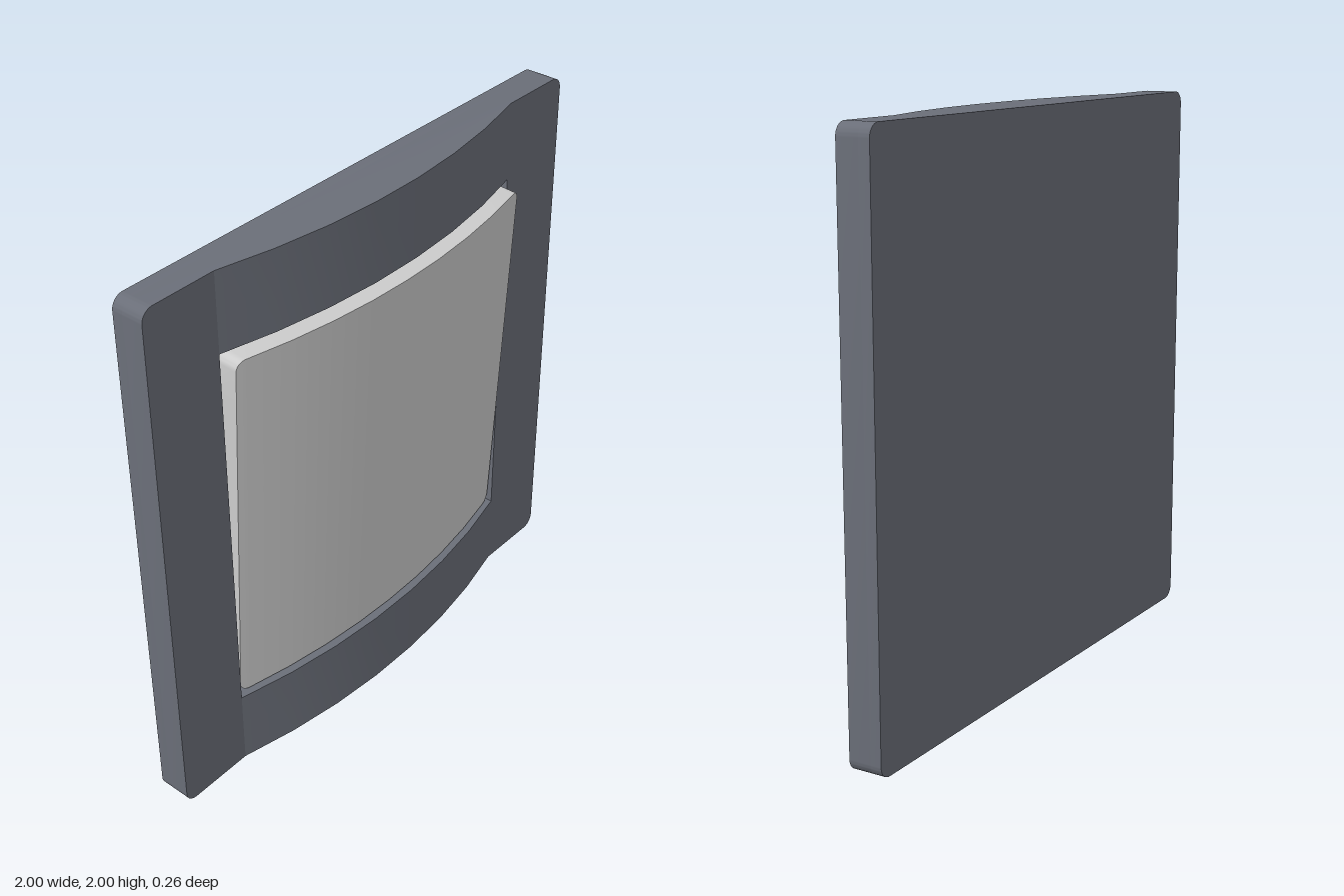
import * as THREE from 'three';
import { toCreasedNormals } from 'three/addons/utils/BufferGeometryUtils.js';

const HOLE = 0.712;    // half size of the opening
const ROCKER = 0.7;    // half size of the rocker
const BACK = -0.13, FLOOR = -0.09, FACE = -0.01;
const BULGE = 0.095;   // height of the curved front

// height of the shallow arc above its ends, at x
function arc(x, half, rise) {
  const r = (half * half + rise * rise) / (2 * rise);
  return Math.sqrt(r * r - x * x) - (r - rise);
}

function roundedSquare(h, r) {
  const s = new THREE.Shape();
  const k = h - r;
  s.absarc(k, k, r, 0, Math.PI / 2);
  s.absarc(-k, k, r, Math.PI / 2, Math.PI);
  s.absarc(-k, -k, r, Math.PI, Math.PI * 1.5);
  s.absarc(k, -k, r, Math.PI * 1.5, Math.PI * 2);
  s.closePath();
  return s;
}

function extrude(shape, depth) {
  return new THREE.ExtrudeGeometry(shape, { depth, bevelEnabled: false, curveSegments: 6 });
}

// square cushion with rounded corners and a front curved across x
function rockerGeometry() {
  const corner = 0.035, n = 4, mid = 8, seg = mid + 2 * n;
  const geo = new THREE.BoxGeometry(2, 2, 1, seg, seg, 1);
  const p = geo.attributes.position;
  const inner = ROCKER - corner;
  // grid index to position, with fine steps inside the corners
  const place = (t) => {
    const i = Math.round((t + 1) / 2 * seg);
    if (i < n) return -ROCKER + corner * i / n;
    if (i > seg - n) return ROCKER - corner * (seg - i) / n;
    return -inner + 2 * inner * (i - n) / mid;
  };
  for (let i = 0; i < p.count; i++) {
    let x = place(p.getX(i)), y = place(p.getY(i));
    const u = Math.abs(x) - inner, v = Math.abs(y) - inner;
    if (u > 1e-6 && v > 1e-6) {
      const k = Math.max(u, v) / Math.hypot(u, v);
      x = Math.sign(x) * (inner + u * k);
      y = Math.sign(y) * (inner + v * k);
    }
    const z = p.getZ(i) > 0 ? 0.01 + arc(x, ROCKER, 0.085) : -0.08;
    p.setXYZ(i, x, y, z);
  }
  return toCreasedNormals(geo, 0.6);
}

export function createModel() {
  const group = new THREE.Group();
  const dark = new THREE.MeshStandardMaterial({ color: 0x6a6e78 });
  const grey = new THREE.MeshStandardMaterial({ color: 0xcccccc });
  const add = (name, geo, mat, y, z) => {
    const mesh = new THREE.Mesh(geo, mat);
    mesh.name = name;
    mesh.position.set(0, y, z);
    group.add(mesh);
    return mesh;
  };

  // closed back and the flat frame around the opening
  const outline = roundedSquare(1, 0.045);
  add('backPlate', toCreasedNormals(extrude(outline, FLOOR - BACK), 0.6), dark, 1, BACK);
  const ring = roundedSquare(1, 0.045);
  const hole = new THREE.Path();
  hole.moveTo(-HOLE, -HOLE);
  hole.lineTo(-HOLE, HOLE);
  hole.lineTo(HOLE, HOLE);
  hole.lineTo(HOLE, -HOLE);
  hole.closePath();
  ring.holes.push(hole);
  add('frame', toCreasedNormals(extrude(ring, FACE - FLOOR), 0.6), dark, 1, FLOOR);

  // curved swellings above and below the opening
  const points = [];
  for (let i = 0; i <= 7; i++) {
    const x = HOLE * (2 * i / 7 - 1);
    points.push(new THREE.Vector2(x, -arc(x, HOLE, BULGE)));
  }
  const swelling = toCreasedNormals(
    extrude(new THREE.Shape(points), 1 - HOLE).rotateX(-Math.PI / 2), 0.3);
  add('lowerSwelling', swelling, dark, 0, FACE);
  add('upperSwelling', swelling, dark, 1 + HOLE, FACE);

  // rocker, tipped with its top edge forward
  add('rocker', rockerGeometry(), grey, 1, 0).rotation.x = 0.05;

  return group;
}
